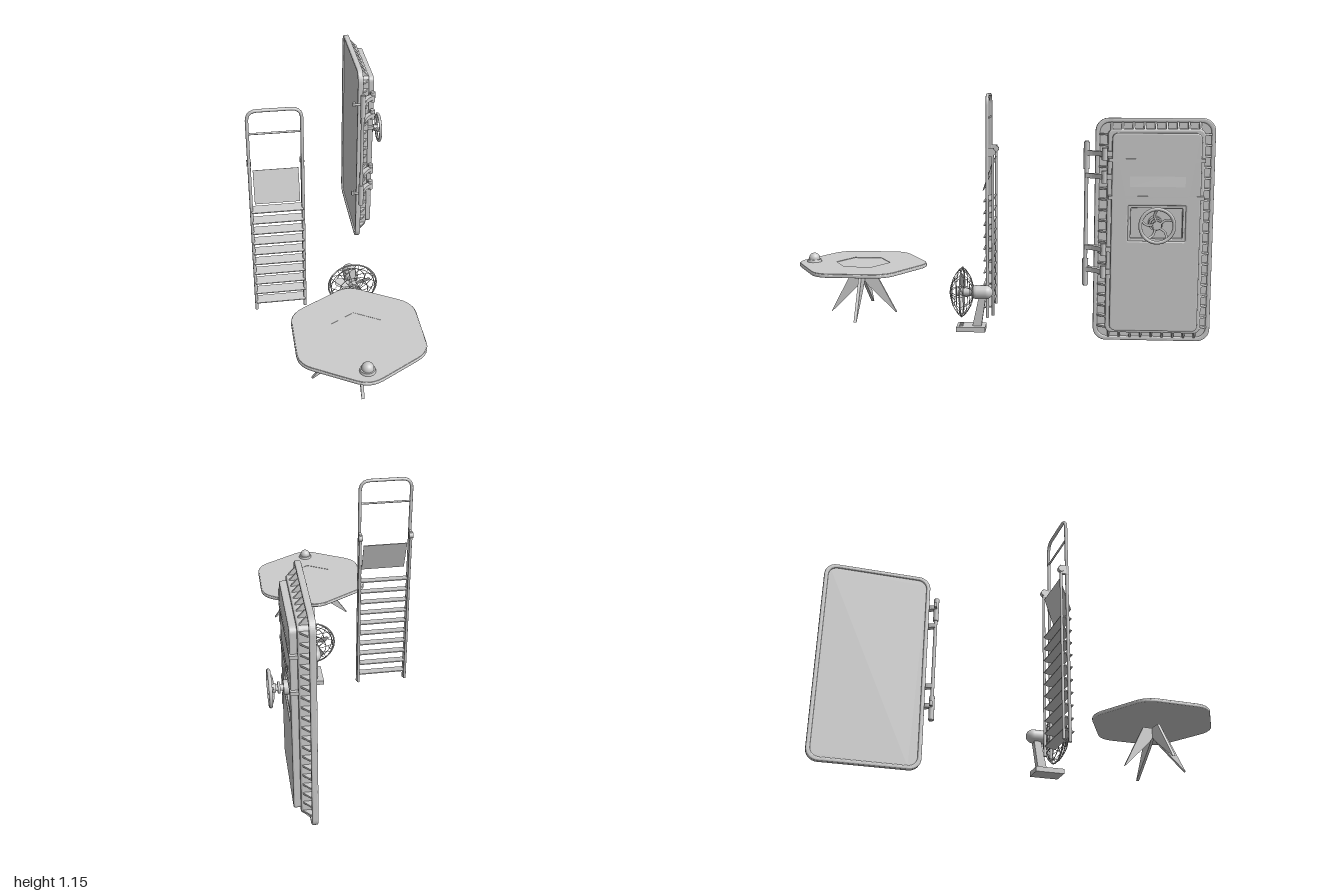
import * as THREE from 'three';

const mat = new THREE.MeshStandardMaterial({ color: 0xcccccc, side: THREE.DoubleSide });
const V = (x, y, z) => new THREE.Vector3(x, y, z);

function add(parent, name, geo, x = 0, y = 0, z = 0) {
  const m = new THREE.Mesh(geo, mat);
  m.name = name;
  m.position.set(x, y, z);
  parent.add(m);
  return m;
}
function group(parent, name, x = 0, y = 0, z = 0) {
  const g = new THREE.Group();
  g.name = name;
  g.position.set(x, y, z);
  parent.add(g);
  return g;
}
const box = (w, h, d) => new THREE.BoxGeometry(w, h, d);
const cyl = (r, h, n = 16, r2 = r) => new THREE.CylinderGeometry(r, r2, h, n);
const polygon = pts => new THREE.Shape(pts.map(p => new THREE.Vector2(...p)));

// Round bar between two points
function bar(parent, name, a, b, r, n = 8) {
  const m = add(parent, name, cyl(r, a.distanceTo(b), n));
  m.position.copy(a).add(b).multiplyScalar(0.5);
  m.quaternion.setFromUnitVectors(V(0, 1, 0), b.clone().sub(a).normalize());
  return m;
}
// Traces a rounded rectangle on a shape or hole
function roundRect(s, w, h, r, cx = 0, cy = 0) {
  const a = w / 2 - r, b = h / 2 - r;
  s.absarc(cx + a, cy + b, r, 0, Math.PI / 2);
  s.absarc(cx - a, cy + b, r, Math.PI / 2, Math.PI);
  s.absarc(cx - a, cy - b, r, Math.PI, Math.PI * 1.5);
  s.absarc(cx + a, cy - b, r, Math.PI * 1.5, Math.PI * 2);
  s.closePath();
  return s;
}
const rect = (...p) => roundRect(new THREE.Shape(), ...p);
const rectHole = (...p) => roundRect(new THREE.Path(), ...p);
// Extrusion whose total depth and outline include the bevel
function slab(shape, depth, bevel = 0) {
  return new THREE.ExtrudeGeometry(shape, {
    depth: depth - 2 * bevel, bevelEnabled: bevel > 0, bevelThickness: bevel,
    bevelSize: bevel, bevelOffset: -bevel, bevelSegments: 3, curveSegments: 6,
  }).translate(0, 0, bevel);
}

function makeLadder(root) {
  const g = group(root, 'stepladder', -0.2605, 0, 0);
  const hw = 0.1255, r = 0.008, c = 0.05;
  // Front frame: one bent tube with rounded top corners
  const path = new THREE.CurvePath();
  path.add(new THREE.LineCurve3(V(-hw, 0, 0.075), V(-hw, 1.147 - c, 0.075)));
  path.add(new THREE.QuadraticBezierCurve3(V(-hw, 1.147 - c, 0.075), V(-hw, 1.147, 0.075), V(-hw + c, 1.147, 0.075)));
  path.add(new THREE.LineCurve3(V(-hw + c, 1.147, 0.075), V(hw - c, 1.147, 0.075)));
  path.add(new THREE.QuadraticBezierCurve3(V(hw - c, 1.147, 0.075), V(hw, 1.147, 0.075), V(hw, 1.147 - c, 0.075)));
  path.add(new THREE.LineCurve3(V(hw, 1.147 - c, 0.075), V(hw, 0, 0.075)));
  add(g, 'frontFrame', new THREE.TubeGeometry(path, 160, r, 10));
  bar(g, 'topRung', V(-hw, 1.03, 0.075), V(hw, 1.03, 0.075), 0.005);
  // Thin treads tipped forward
  for (let i = 0; i < 10; i++) add(g, 'tread', box(2 * hw, 0.005, 0.052), 0, 0.055 + i * 0.0617, 0.069).rotation.x = 0.17;
  for (const s of [-1, 1]) {
    bar(g, 'rearRail', V(s * hw, 0.012, 0.046), V(s * hw, 0.87, 0.046), 0.007);
    add(g, 'hingeBracket', box(0.013, 0.045, 0.042), s * hw, 0.858, 0.062);
    bar(g, 'hingePin', V(s * hw - 0.01, 0.86, 0.046), V(s * hw + 0.01, 0.86, 0.046), 0.015, 12);
  }
  // Tilted platform
  add(g, 'platform', box(0.217, 0.165, 0.004), 0, 0.74, 0.072).rotation.x = -0.32;
}

function hexagon(s, R, r) {
  // Hexagon with a corner on +y and rounded corners
  const p = i => new THREE.Vector2(Math.sin(i * Math.PI / 3) * R, Math.cos(i * Math.PI / 3) * R);
  for (let i = 0; i < 6; i++) {
    const a = p(i).lerp(p(i - 1), r), b = p(i).lerp(p(i + 1), r), k = p(i);
    if (i) s.lineTo(a.x, a.y);
    else s.moveTo(a.x, a.y);
    s.quadraticCurveTo(k.x, k.y, b.x, b.y);
  }
  s.closePath();
  return s;
}

function makeTable(root) {
  const g = group(root, 'table', 0.037, 0, 0.683);
  const flat = (name, geo, y) => { add(g, name, geo, 0, y, 0).rotation.x = -Math.PI / 2; };
  flat('tableTop', slab(hexagon(new THREE.Shape(), 0.336, 0.2), 0.016, 0.005), 0.302);
  // Upper layer with a shallow six-sided recess
  const rim = hexagon(new THREE.Shape(), 0.332, 0.2);
  rim.holes.push(hexagon(new THREE.Path(), 0.137, 0.01));
  flat('tableSurface', slab(rim, 0.007, 0.002), 0.314);
  // Four flat fin legs, spread wider sideways
  for (let i = 0; i < 4; i++) {
    const k = i % 2 ? 0.78 : 1;
    const fin = polygon([[0, 0.28], [0.07, 0.28], [0.212, 0.068], [0.205, 0.07], [0.035, 0.2], [0, 0.235]].map(([x, y]) => [x * k, y]));
    add(g, 'leg', slab(fin, 0.014).translate(0, 0, -0.007)).rotation.y = i * Math.PI / 2;
  }
  // Service bell
  add(g, 'bellBase', cyl(0.033, 0.012, 24, 0.036), 0, 0.327, 0.247);
  add(g, 'bellDome', new THREE.SphereGeometry(0.027, 24, 10, 0, Math.PI * 2, 0, Math.PI / 2), 0, 0.338, 0.247);
  add(g, 'bellCollar', cyl(0.027, 0.008, 24), 0, 0.335, 0.247);
}

function makeFan(root) {
  const g = group(root, 'fan', 0.095, 0, 0);
  add(g, 'base', box(0.098, 0.024, 0.142), 0, 0.012, 0.135);
  for (const s of [-1, 1]) add(g, 'button', box(0.016, 0.004, 0.02), s * 0.02, 0.025, 0.185);
  const neck = polygon([[0.085, 0.02], [0.13, 0.02], [0.095, 0.18], [0.062, 0.18]]);
  add(g, 'neck', slab(neck, 0.036).rotateY(-Math.PI / 2), 0.018, 0, 0);
  const motor = add(g, 'motor', new THREE.CapsuleGeometry(0.034, 0.045, 8, 20), 0, 0.19, 0.086);
  motor.rotation.x = Math.PI / 2;
  const head = group(g, 'fanHead', 0, 0.19, 0.181);
  bar(head, 'hub', V(0, 0, -0.06), V(0, 0, 0.025), 0.02, 16);
  // Twisted blades
  for (let i = 0; i < 5; i++) {
    const blade = group(head, 'blade');
    const s = new THREE.Shape();
    s.moveTo(-0.012, 0.01);
    s.bezierCurveTo(-0.025, 0.05, -0.028, 0.08, -0.012, 0.092);
    s.bezierCurveTo(0.022, 0.1, 0.026, 0.08, 0.012, 0.01);
    add(blade, 'bladeSurface', new THREE.ShapeGeometry(s, 8)).rotation.y = 0.5;
    blade.rotation.z = i * Math.PI * 2 / 5;
  }
  // Lens-shaped wire cage: rings and radial wires, front and back
  const ring = (R, z, r = 0.002) => add(head, 'cageRing', new THREE.TorusGeometry(R, r, 6, 40), 0, 0, z);
  ring(0.121, 0, 0.004);
  for (const s of [-1, 1]) {
    ring(0.11, s * 0.016);
    ring(0.07, s * 0.042);
    ring(0.034, s * 0.054);
    for (let i = 0; i < 14; i++) {
      const wire = new THREE.CatmullRomCurve3([V(0.02, 0, s * 0.057), V(0.07, 0, s * 0.042), V(0.11, 0, s * 0.016), V(0.122, 0, 0)]);
      add(head, 'cageWire', new THREE.TubeGeometry(wire, 10, 0.0015, 5)).rotation.z = i * Math.PI / 7;
    }
  }
  bar(head, 'cageCap', V(0, 0, 0.052), V(0, 0, 0.059), 0.022, 20);
}

function makeDoor(root) {
  // Built facing +z, then turned to face +x
  const g = group(root, 'hatchDoor', 0.217, 0.527, -0.7275);
  g.rotation.y = Math.PI / 2;
  const W = 0.545, H = 1.046;
  const rim = rect(W, H, 0.06);
  rim.holes.push(rectHole(W - 0.04, H - 0.04, 0.045));
  add(g, 'rim', slab(rim, 0.028, 0.006));
  add(g, 'backPlate', slab(rect(W - 0.03, H - 0.03, 0.05), 0.014), 0, 0, 0.008);
  add(g, 'lowerPanel', slab(rect(0.44, 0.95, 0.03), 0.05, 0.008), 0.002, 0, 0.018);
  const panel = rect(0.402, 0.915, 0.025);
  panel.holes.push(rectHole(0.26, 0.165, 0.005, 0.005, 0.047));
  add(g, 'raisedPanel', slab(panel, 0.035, 0.006), 0.002, 0, 0.063);
  // Raised bevelled frame around the handwheel recess
  const frame = rect(0.265, 0.17, 0.008);
  frame.holes.push(rectHole(0.235, 0.14, 0.005));
  add(g, 'recessFrame', slab(frame, 0.03, 0.004), 0.007, 0.047, 0.062);
  // Viewing slot: tilted plate between the straps
  add(g, 'slotPlate', box(0.25, 0.07, 0.01), 0.007, 0.25, 0.094).rotation.x = -0.08;
  // Straps across the panel, folding down over its sides
  for (const y of [0.335, 0.165]) {
    add(g, 'strap', box(0.42, 0.016, 0.01), 0.002, y, 0.096);
    for (const s of [-1, 1]) add(g, 'strapEnd', box(0.014, 0.016, 0.07), 0.002 + s * 0.209, y, 0.066);
  }
  // Triangular gussets all around
  const tri = polygon([[0, 0], [0.045, 0], [0.045, 0.042], [0.036, 0.042], [0, 0.01]]);
  const ribGeo = slab(tri, 0.009).translate(0, 0, -0.0045).rotateX(Math.PI / 2);
  const rib = (x, y, a) => { add(g, 'gusset', ribGeo, x, y, 0.022).rotation.z = a; };
  for (let i = 0; i < 19; i++) {
    const y = -0.45 + i * 0.05;
    rib(-W / 2 + 0.018, y, 0);
    rib(W / 2 - 0.018, y, Math.PI);
  }
  for (let i = 0; i < 9; i++) {
    const x = -0.2 + i * 0.05;
    rib(x, H / 2 - 0.018, -Math.PI / 2);
    rib(x, -H / 2 + 0.018, Math.PI / 2);
  }
  // Handwheel
  const w = group(g, 'handwheel', 0.002, 0.048, 0);
  bar(w, 'wheelBoss', V(0, 0, 0.06), V(0, 0, 0.11), 0.032, 20);
  bar(w, 'wheelShaft', V(0, 0, 0.11), V(0, 0, 0.16), 0.014, 16);
  bar(w, 'shaftCollar', V(0, 0, 0.124), V(0, 0, 0.134), 0.026, 16);
  bar(w, 'wheelHub', V(0, 0, 0.142), V(0, 0, 0.165), 0.02, 16);
  add(w, 'wheelRim', new THREE.TorusGeometry(0.076, 0.008, 10, 40), 0, 0, 0.168);
  for (let i = 0; i < 5; i++) {
    const spoke = new THREE.CatmullRomCurve3([V(0.012, 0, 0.155), V(0.045, 0.012, 0.158), V(0.075, 0, 0.168)]);
    add(w, 'spoke', new THREE.TubeGeometry(spoke, 10, 0.006, 6)).rotation.z = i * Math.PI * 0.4 + Math.PI / 2;
  }
  // Hinges on a long rod beside the door
  const h = group(g, 'hinges', 0, -0.527, 0);
  bar(h, 'hingeRod', V(-0.312, 0.265, 0.02), V(-0.312, 0.945, 0.02), 0.009, 12);
  for (const y of [0.885, 0.34]) {
    bar(h, 'hingeBarrel', V(-0.312, y - 0.07, 0.02), V(-0.312, y + 0.055, 0.02), 0.014, 12);
    bar(h, 'hingeTab', V(-0.31, y, 0.02), V(-0.3, y, -0.022), 0.007);
    bar(h, 'tabEnd', V(-0.298, y - 0.012, -0.024), V(-0.298, y + 0.012, -0.024), 0.008, 12);
  }
  // Curved flat arms reaching from the rod to pins by the panel
  const armShape = new THREE.Shape();
  armShape.moveTo(-0.318, 0.032);
  armShape.quadraticCurveTo(-0.265, 0.05, -0.245, 0.095);
  armShape.lineTo(-0.222, 0.085);
  armShape.quadraticCurveTo(-0.25, 0.025, -0.306, 0.008);
  const armGeo = slab(armShape, 0.022).translate(0, 0, -0.011).rotateX(Math.PI / 2).scale(1, 1, 1);
  for (const y of [0.89, 0.785, 0.45, 0.345]) {
    add(h, 'hingeArm', armGeo, 0, y, 0);
    bar(h, 'armPin', V(-0.233, y - 0.028, 0.086), V(-0.233, y + 0.028, 0.086), 0.013, 12);
    add(h, 'armFoot', box(0.035, 0.024, 0.016), -0.213, y, 0.082);
  }
}

export function createModel() {
  const root = new THREE.Group();
  root.name = 'deckProps';
  makeLadder(root);
  makeTable(root);
  makeFan(root);
  makeDoor(root);
  return root;
}
